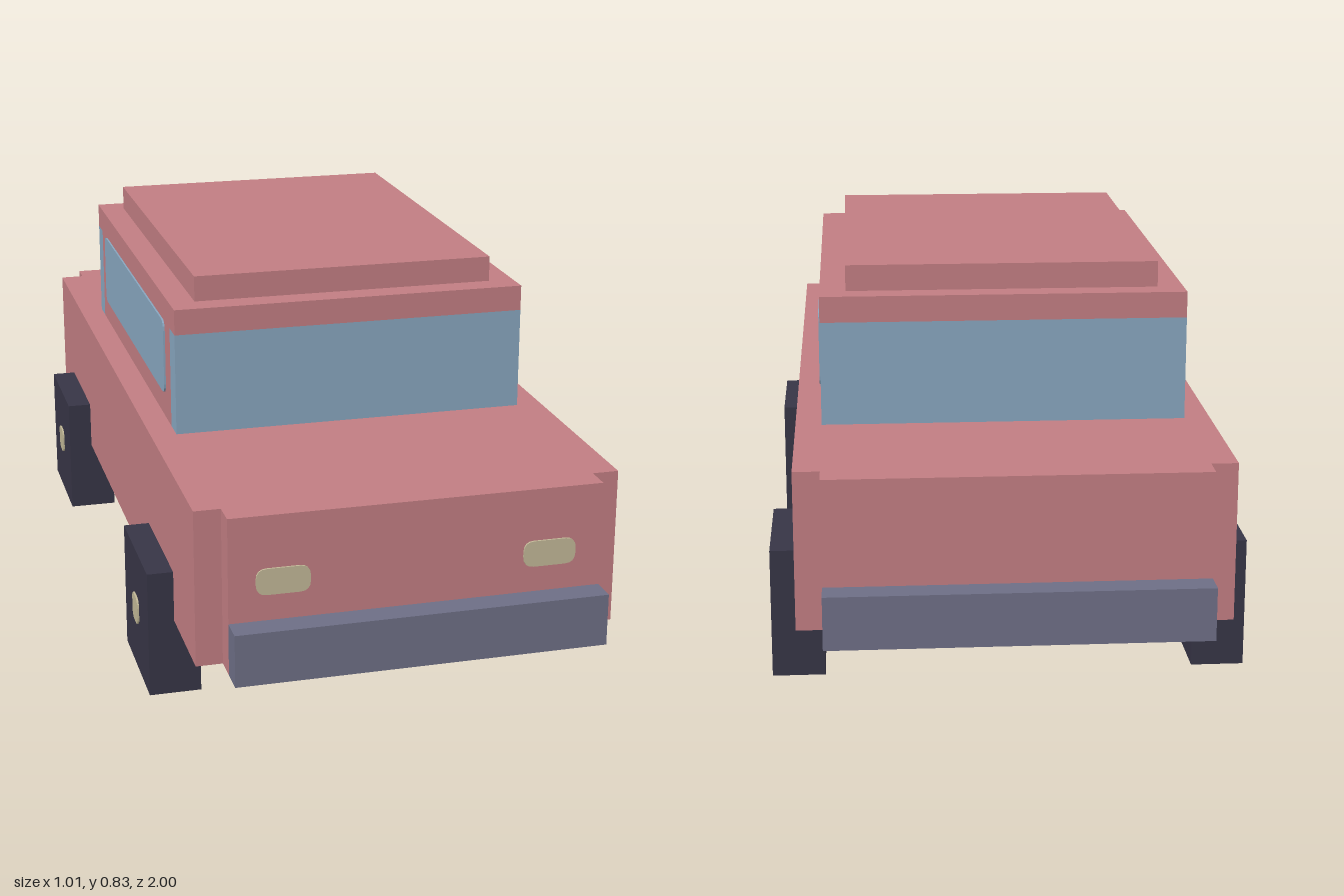
import * as THREE from 'three';

const U = 1 / 18; // every size is a multiple of this block unit

function material(name, color) {
  const m = new THREE.MeshStandardMaterial({ color });
  m.name = name;
  return m;
}

// Rounded plate in the xy plane, facing +z, centred on its own middle
function plateGeometry(w, h, r) {
  const x = w / 2, y = h / 2;
  const s = new THREE.Shape();
  s.moveTo(-x + r, -y);
  s.lineTo(x - r, -y);
  s.quadraticCurveTo(x, -y, x, -y + r);
  s.lineTo(x, y - r);
  s.quadraticCurveTo(x, y, x - r, y);
  s.lineTo(-x + r, y);
  s.quadraticCurveTo(-x, y, -x, y - r);
  s.lineTo(-x, -y + r);
  s.quadraticCurveTo(-x, -y, -x + r, -y);
  return new THREE.ExtrudeGeometry(s, { depth: 0.004, bevelEnabled: false, curveSegments: 4 });
}

export function createModel() {
  const paint = material('pink paint', 0xc27e83);
  const glass = material('blue glass', 0x88a6bf);
  const bumperGrey = material('bumper grey', 0x6e6f86);
  const tyre = material('dark tyre', 0x373546);
  const cream = material('cream', 0xc2b897);

  const car = new THREE.Group();
  car.name = 'car';

  // Box given by its extents in block units
  function box(name, mat, x0, x1, y0, y1, z0, z1) {
    const mesh = new THREE.Mesh(new THREE.BoxGeometry((x1 - x0) * U, (y1 - y0) * U, (z1 - z0) * U), mat);
    mesh.position.set((x0 + x1) / 2 * U, (y0 + y1) / 2 * U, (z0 + z1) / 2 * U);
    mesh.name = name;
    car.add(mesh);
  }

  function plate(name, mat, w, h, r, x, y, z, turn) {
    const mesh = new THREE.Mesh(plateGeometry(w * U, h * U, r * U), mat);
    mesh.position.set(x * U, y * U, z * U);
    mesh.rotation.y = turn;
    mesh.name = name;
    car.add(mesh);
  }

  // Lower body: wide middle with narrower nose and tail
  box('body', paint, -8, 8, 3, 9, -16, 16);
  box('nose', paint, -7, 7, 3, 9, 16, 17);
  box('tail', paint, -7, 7, 3, 9, -17, -16);
  box('frontBumper', bumperGrey, -7, 7, 3, 5, 17, 18);
  box('rearBumper', bumperGrey, -7, 7, 3, 5, -18, -17);

  // Cabin with wrap-around windscreens at both ends
  box('cabin', paint, -7, 7, 9, 13, -9, 7);
  box('windscreen', glass, -7, 7, 9, 13, 7, 8);
  box('rearWindow', glass, -7, 7, 9, 13, -10, -9);
  box('cabinTop', paint, -7, 7, 13, 14, -10, 8);
  box('roof', paint, -6, 6, 14, 15, -9, 7);

  // Mirrored details
  for (const side of [1, -1]) {
    const turn = side * Math.PI / 2;
    const name = side > 0 ? 'left' : 'right';
    plate(name + 'SideWindow', glass, 14, 3, 0.4, side * 7, 11.5, -1, turn);
    plate(name + 'Headlight', cream, 2, 1, 0.4, side * 5, 6.5, 17, 0);
    for (const [end, z] of [['Front', 9.5], ['Rear', -10.5]]) {
      box(name + end + 'Wheel', tyre, side > 0 ? 7 : -9, side > 0 ? 9 : -7, 0, 5, z - 2.5, z + 2.5);
      plate(name + end + 'Hub', cream, 1.1, 1.1, 0.35, side * 9, 2.55, z, turn);
    }
  }
  return car;
}
